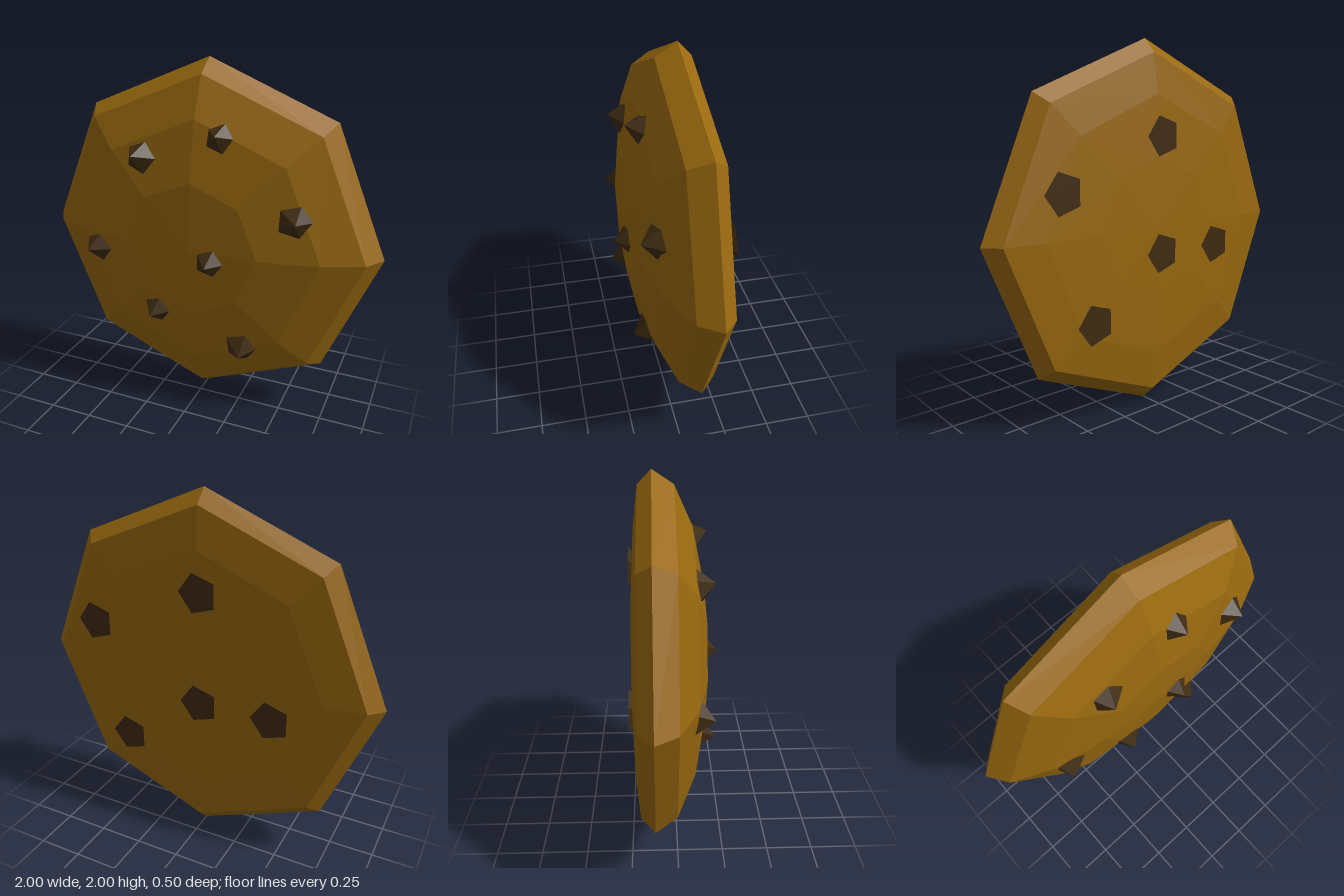
import * as THREE from 'three';

const SIDES = 8;
const RIM_Z = -0.12; // plane of the widest ring

// Depth of the domed front at a given radius
const domeZ = (r) => RIM_Z + 0.3 * Math.sqrt(Math.max(0, 1 - r * r));

// Five-sided cone pointing along +z, base on z = 0, one corner towards +x
function chipGeometry(radius, height) {
  return new THREE.ConeGeometry(radius, height, 5)
    .translate(0, height / 2, 0)
    .rotateX(Math.PI / 2)
    .rotateZ(Math.PI / 2);
}

export function createModel() {
  const model = new THREE.Group();
  model.name = 'cookie';
  const dough = new THREE.MeshStandardMaterial({ color: 0x99690f, flatShading: true });
  const chocolate = new THREE.MeshStandardMaterial({ color: 0x402c12, flatShading: true });

  // Eight-sided body: a half sphere squashed deep at the front, shallow at the back
  const profile = [];
  for (let i = 0; i <= SIDES; i++) {
    const a = -Math.PI / 2 + (i * Math.PI) / SIDES;
    const s = Math.sin(a);
    const z = s < 0 ? -0.12 * Math.pow(-s, 0.5) : 0.3 * s;
    // the back ring sits almost as deep as the back's middle
    profile.push(new THREE.Vector2(i % SIDES === 0 ? 0 : Math.cos(a), RIM_Z + z));
  }
  const body = new THREE.Mesh(new THREE.LatheGeometry(profile, SIDES).rotateX(Math.PI / 2), dough);
  body.name = 'body';
  body.position.y = 1;
  model.add(body);

  // Front chips, leaning outwards with the dome: x, y, radius
  const frontChips = new THREE.Group();
  frontChips.name = 'frontChips';
  const forward = new THREE.Vector3(0, 0, 1);
  [
    [-0.31, 1.48, 0.1], [0.14, 1.62, 0.085], [0.56, 1.23, 0.1], [0.115, 0.95, 0.1],
    [-0.61, 0.91, 0.1], [-0.22, 0.59, 0.095], [0.285, 0.425, 0.1],
  ].forEach(([x, y, r], i) => {
    const chip = new THREE.Mesh(chipGeometry(r, 0.095), chocolate);
    chip.name = `frontChip${i + 1}`;
    const normal = new THREE.Vector3(x * 0.5, (y - 1) * 0.5, 1).normalize();
    chip.quaternion.setFromUnitVectors(forward, normal);
    chip.position.set(x, y, domeZ(Math.hypot(x, y - 1)) - 0.025);
    frontChips.add(chip);
  });
  model.add(frontChips);

  // Back chips: flat bases just proud of the back, tips buried in the body
  const backChips = new THREE.Group();
  backChips.name = 'backChips';
  [
    [0.62, 1.23], [-0.025, 1.49], [-0.025, 0.86], [0.435, 0.55], [-0.44, 0.86],
  ].forEach(([x, y], i) => {
    const chip = new THREE.Mesh(chipGeometry(0.113, 0.1), chocolate);
    chip.name = `backChip${i + 1}`;
    chip.position.set(x, y, -0.248);
    backChips.add(chip);
  });
  model.add(backChips);

  return model;
}
